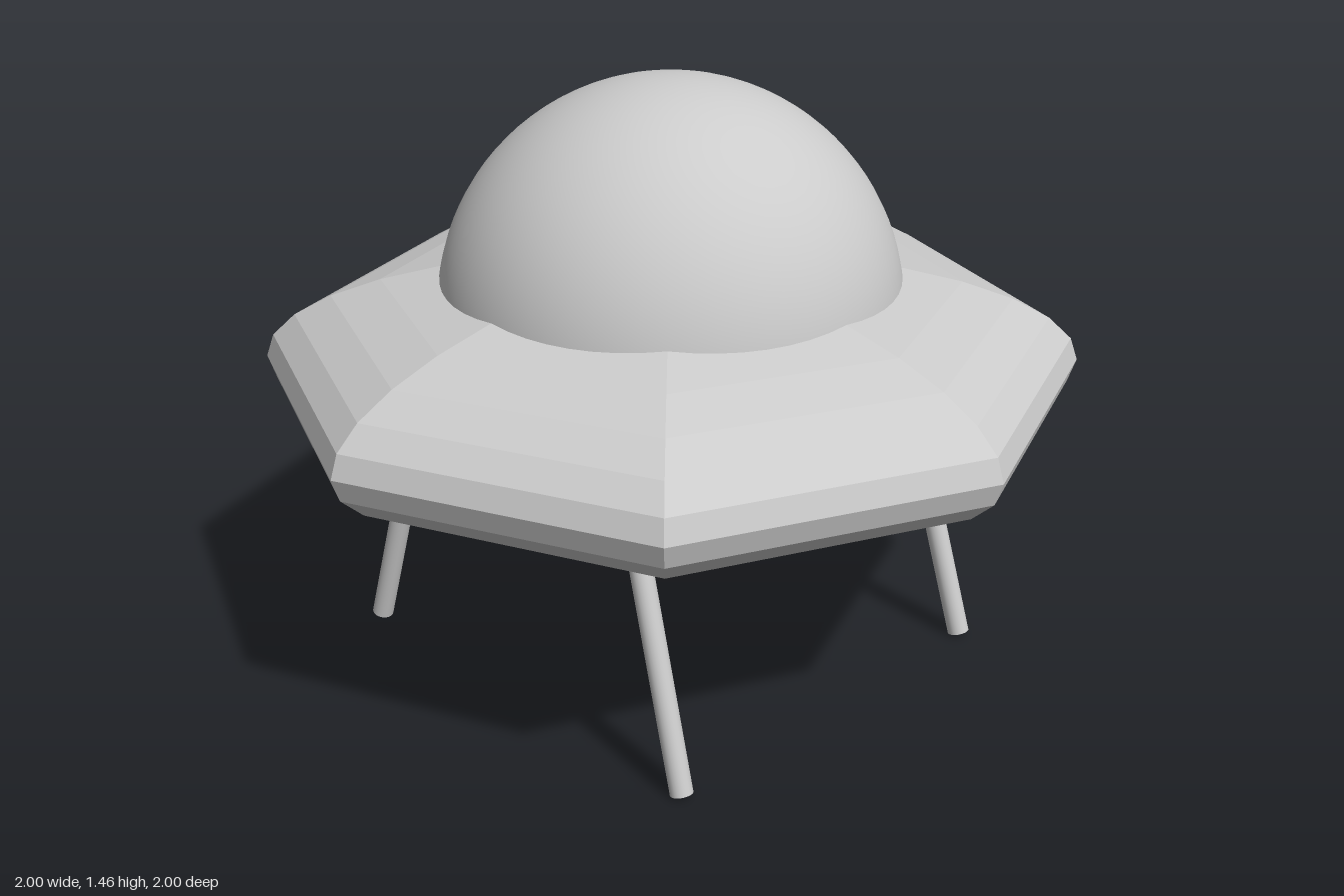
import * as THREE from 'three';

export function createModel() {
  const model = new THREE.Group();
  model.name = 'flyingSaucer';
  const smooth = new THREE.MeshStandardMaterial({ color: 0xcccccc });
  const faceted = new THREE.MeshStandardMaterial({ color: 0xcccccc, flatShading: true });

  const add = (name, geometry, material) => {
    const mesh = new THREE.Mesh(geometry, material);
    mesh.name = name;
    model.add(mesh);
    return mesh;
  };

  // Hull: flattened eight-sided ellipsoid with stepped bands
  const hull = add('hull', new THREE.SphereGeometry(1, 8, 16), faceted);
  hull.scale.y = 0.285;
  hull.position.y = 0.76;

  // Dome: smooth hemisphere sunk into the top of the hull
  const dome = add('dome',
    new THREE.SphereGeometry(0.565, 64, 24, 0, Math.PI * 2, 0, Math.PI / 2), smooth);
  dome.position.y = 0.9;

  // Legs: four thin splayed rods, tops buried in the hull
  const up = new THREE.Vector3(0, 1, 0);
  const addLeg = (name, sx, sz) => {
    const shift = -0.012; // the set of legs sits slightly off centre in x
    const foot = new THREE.Vector3(sx * 0.566 + shift, 0.009, sz * 0.506);
    const top = new THREE.Vector3(sx * 0.385 + shift, 0.62, sz * 0.481);
    const axis = top.clone().sub(foot);
    const leg = add(name, new THREE.CylinderGeometry(0.027, 0.027, axis.length(), 24), smooth);
    leg.position.copy(foot).add(top).multiplyScalar(0.5);
    leg.quaternion.setFromUnitVectors(up, axis.normalize());
  };
  for (const [side, sx] of [['Left', 1], ['Right', -1]]) {
    addLeg('front' + side + 'Leg', sx, 1);
    addLeg('back' + side + 'Leg', sx, -1);
  }

  return model;
}
